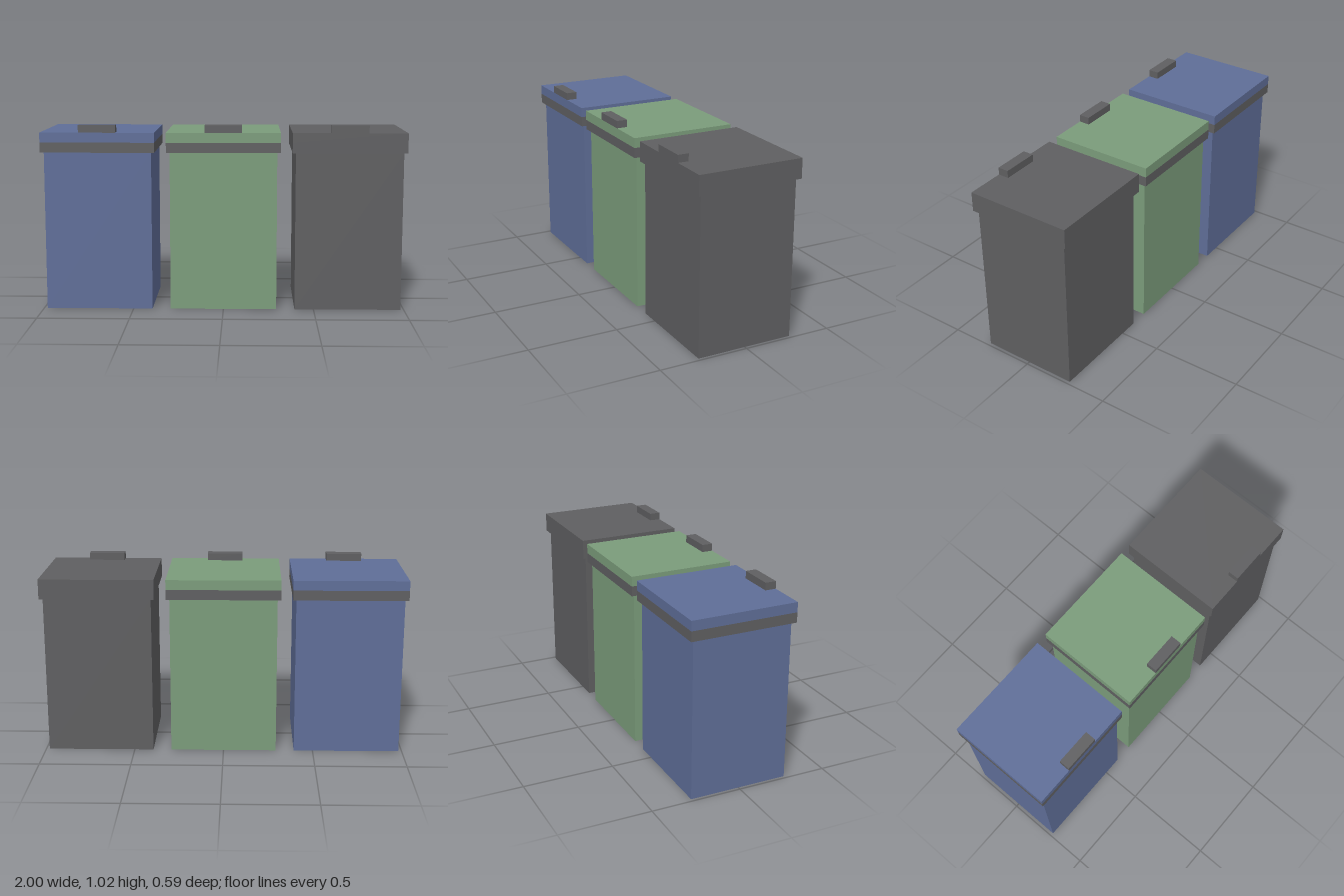
import * as THREE from 'three';

const material = (name, color) => {
  const m = new THREE.MeshStandardMaterial({ color });
  m.name = name;
  return m;
};

// Box spanning y0..y1, centred on x, with its centre at z
function addBox(group, name, mat, width, depth, y0, y1, z = 0) {
  const mesh = new THREE.Mesh(new THREE.BoxGeometry(width, y1 - y0, depth), mat);
  mesh.name = name;
  mesh.position.set(0, (y0 + y1) / 2, z);
  group.add(mesh);
}

// One bin: body, dark rim, coloured lid and a handle at the front edge
function createBin(name, color, dark) {
  const bin = new THREE.Group();
  bin.name = name;
  addBox(bin, 'body', color, 0.587, 0.546, 0, 0.873);
  addBox(bin, 'rim', dark, 0.624, 0.587, 0.873, 0.928);
  addBox(bin, 'lid', color, 0.624, 0.587, 0.928, 0.982);
  addBox(bin, 'handle', dark, 0.202, 0.06, 0.982, 1.023, 0.2635);
  return bin;
}

export function createModel() {
  const model = new THREE.Group();
  model.name = 'wasteBins';
  const blue = material('blue', 0x5f6e98);
  const green = material('green', 0x7b9c7b);
  const grey = material('dark grey', 0x5f5f61);

  // Row of three bins
  [['blueBin', blue], ['greenBin', green], ['greyBin', grey]].forEach(([name, color], i) => {
    const bin = createBin(name, color, grey);
    bin.position.x = (i - 1) * 0.688;
    model.add(bin);
  });
  return model;
}
